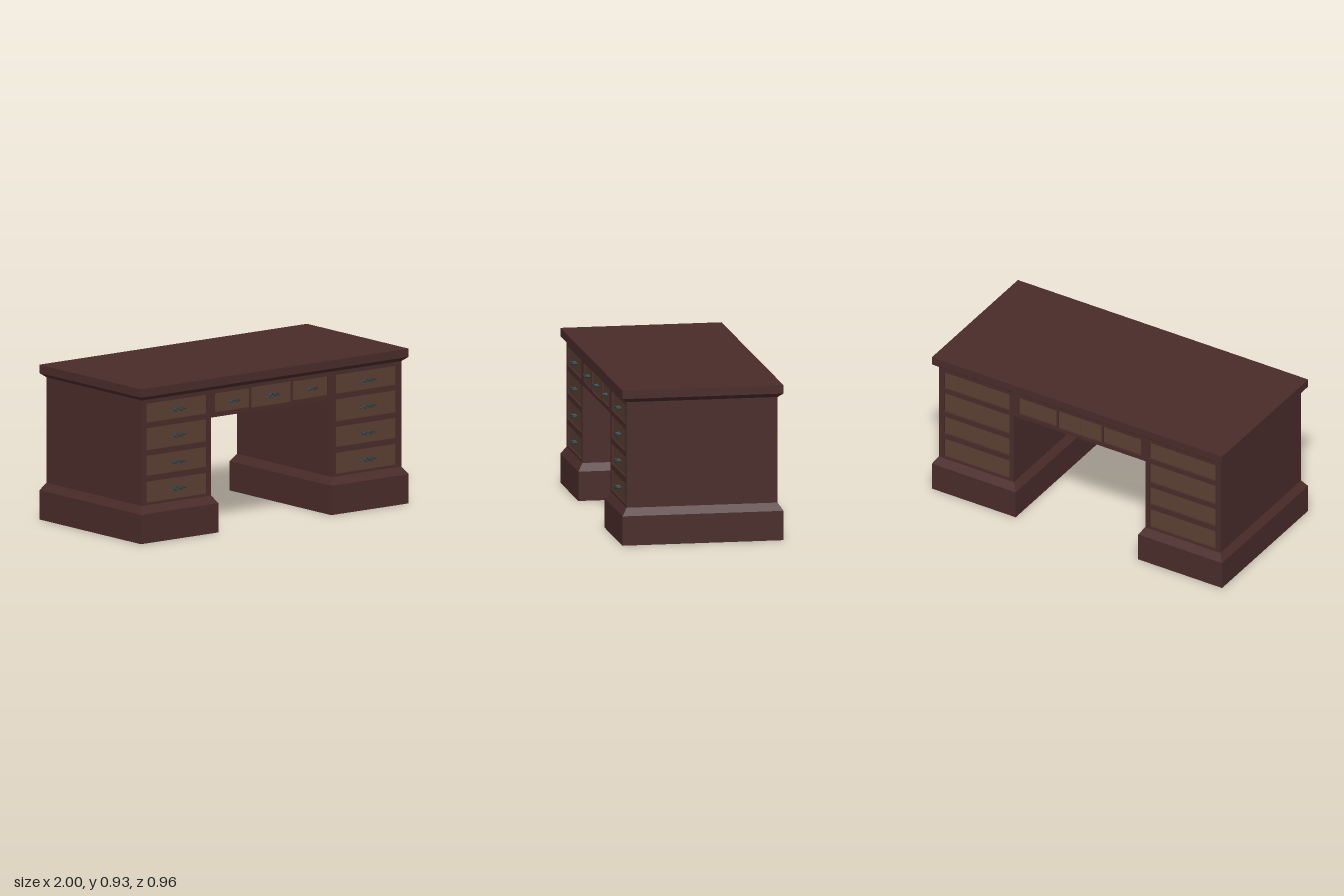
import * as THREE from 'three';

const wood = new THREE.MeshStandardMaterial({ color: 0x4a2c2a });
const drawerWood = new THREE.MeshStandardMaterial({ color: 0x5c4033 });
const metal = new THREE.MeshStandardMaterial({ color: 0x2f3f40 });

const FACE = 0.45;     // front plane of the carcass
const RECESS = 0.015;  // depth of the drawer openings

function add(parent, name, geometry, material, x = 0, y = 0, z = 0) {
  const mesh = new THREE.Mesh(geometry, material);
  mesh.name = name;
  mesh.position.set(x, y, z);
  parent.add(mesh);
  return mesh;
}

// Box whose top (end = 1) or bottom (end = -1) is inset on all four sides
function taperedBox(w, h, d, inset, end) {
  const g = new THREE.BoxGeometry(w, h, d).toNonIndexed();
  const p = g.attributes.position;
  for (let i = 0; i < p.count; i++) {
    if (Math.sign(p.getY(i)) !== end) continue;
    p.setX(i, p.getX(i) - Math.sign(p.getX(i)) * inset);
    p.setZ(i, p.getZ(i) - Math.sign(p.getZ(i)) * inset);
  }
  g.computeVertexNormals();
  return g;
}

// Outline of the carcass: two pedestals joined by the apron
function carcassShape() {
  return new THREE.Shape([
    [-0.97, 0.22], [-0.453, 0.22], [-0.453, 0.685], [0.453, 0.685],
    [0.453, 0.22], [0.97, 0.22], [0.97, 0.85], [-0.97, 0.85],
  ].map(([x, y]) => new THREE.Vector2(x, y)));
}

// Openings as [x0, x1, y0, y1, handle half-width]
const openings = [];
for (const [y0, y1] of [[0.235, 0.36], [0.395, 0.515], [0.548, 0.68], [0.713, 0.826]]) {
  openings.push([-0.936, -0.483, y0, y1, 0.065], [0.483, 0.936, y0, y1, 0.065]);
}
openings.push([-0.422, -0.16, 0.713, 0.826, 0.043], [0.16, 0.422, 0.713, 0.826, 0.043]);
openings.push([-0.15, 0.15, 0.707, 0.829, 0.052]);

// Bow handle: two strands crossing in waves, on two flared posts
function makeHandle(half, wave) {
  const handle = new THREE.Group();
  handle.name = 'handle';
  for (const s of [-1, 1]) {
    const points = [];
    for (let i = 0; i <= 12; i++) {
      const t = i / 6 - 1;
      points.push(new THREE.Vector3(
        t * half,
        s * wave * Math.sin(t * Math.PI * 1.5) * (1 - 0.5 * Math.abs(t)),
        0.022 - 0.012 * t * t + RECESS,
      ));
    }
    const path = new THREE.CatmullRomCurve3(points);
    add(handle, 'handleStrand', new THREE.TubeGeometry(path, 24, 0.0028, 6), metal);

    const profile = [[0, 0], [0.009, 0], [0.008, 0.012], [0.004, 0.024], [0.007, 0.034], [0.004, 0.038], [0, 0.038]]
      .map(([r, h]) => new THREE.Vector2(r, h));
    const post = add(handle, 'handlePost', new THREE.LatheGeometry(profile, 10), metal, s * half * 0.35);
    post.rotation.x = Math.PI / 2;
  }
  return handle;
}

// One decorated side: pierced frame, sunken drawer fronts, optional handles
function makeFacade(withHandles) {
  const side = new THREE.Group();
  side.name = withHandles ? 'frontSide' : 'backSide';
  const shape = carcassShape();
  for (const [x0, x1, y0, y1] of openings) {
    shape.holes.push(new THREE.Path([
      new THREE.Vector2(x0, y0), new THREE.Vector2(x0, y1),
      new THREE.Vector2(x1, y1), new THREE.Vector2(x1, y0),
    ]));
  }
  add(side, 'drawerFrame', new THREE.ExtrudeGeometry(shape, { depth: RECESS, bevelEnabled: false }),
    wood, 0, 0, FACE - RECESS);

  for (const [x0, x1, y0, y1, half] of openings) {
    const cx = (x0 + x1) / 2, cy = (y0 + y1) / 2, w = x1 - x0;
    const centre = Math.abs(cx) < 0.01;
    // The middle front is split by a narrow seam
    const panels = centre ? [[-w / 4, w / 2 - 0.003], [w / 4, w / 2 - 0.003]] : [[cx, w]];
    for (const [px, pw] of panels) {
      add(side, 'drawerFront', new THREE.BoxGeometry(pw, y1 - y0, 0.006), drawerWood,
        px, cy, FACE - RECESS + 0.001);
    }
    if (withHandles) {
      const handle = makeHandle(half, centre ? 0.014 : 0.009);
      handle.position.set(cx, cy, FACE - RECESS);
      side.add(handle);
    }
  }
  return side;
}

export function createModel() {
  const desk = new THREE.Group();
  desk.name = 'desk';

  // Carcass between the two facades
  const depth = 2 * (FACE - RECESS);
  add(desk, 'carcass', new THREE.ExtrudeGeometry(carcassShape(), { depth, bevelEnabled: false }),
    wood, 0, 0, -depth / 2);

  const front = makeFacade(true);
  const back = makeFacade(false);
  back.rotation.y = Math.PI;
  desk.add(front, back);

  // Plinths with sloped shoulders
  for (const s of [-1, 1]) {
    add(desk, 'plinth', new THREE.BoxGeometry(0.578, 0.175, 0.96), wood, s * 0.711, 0.0875, 0);
    add(desk, 'plinthShoulder', taperedBox(0.578, 0.045, 0.96, 0.03, 1), wood, s * 0.711, 0.1975, 0);
  }

  // Top slab over a flared moulding
  add(desk, 'topMoulding', taperedBox(2, 0.025, 0.96, 0.03, -1), wood, 0, 0.8625, 0);
  add(desk, 'desktop', new THREE.BoxGeometry(2, 0.05, 0.96), wood, 0, 0.9, 0);

  return desk;
}
